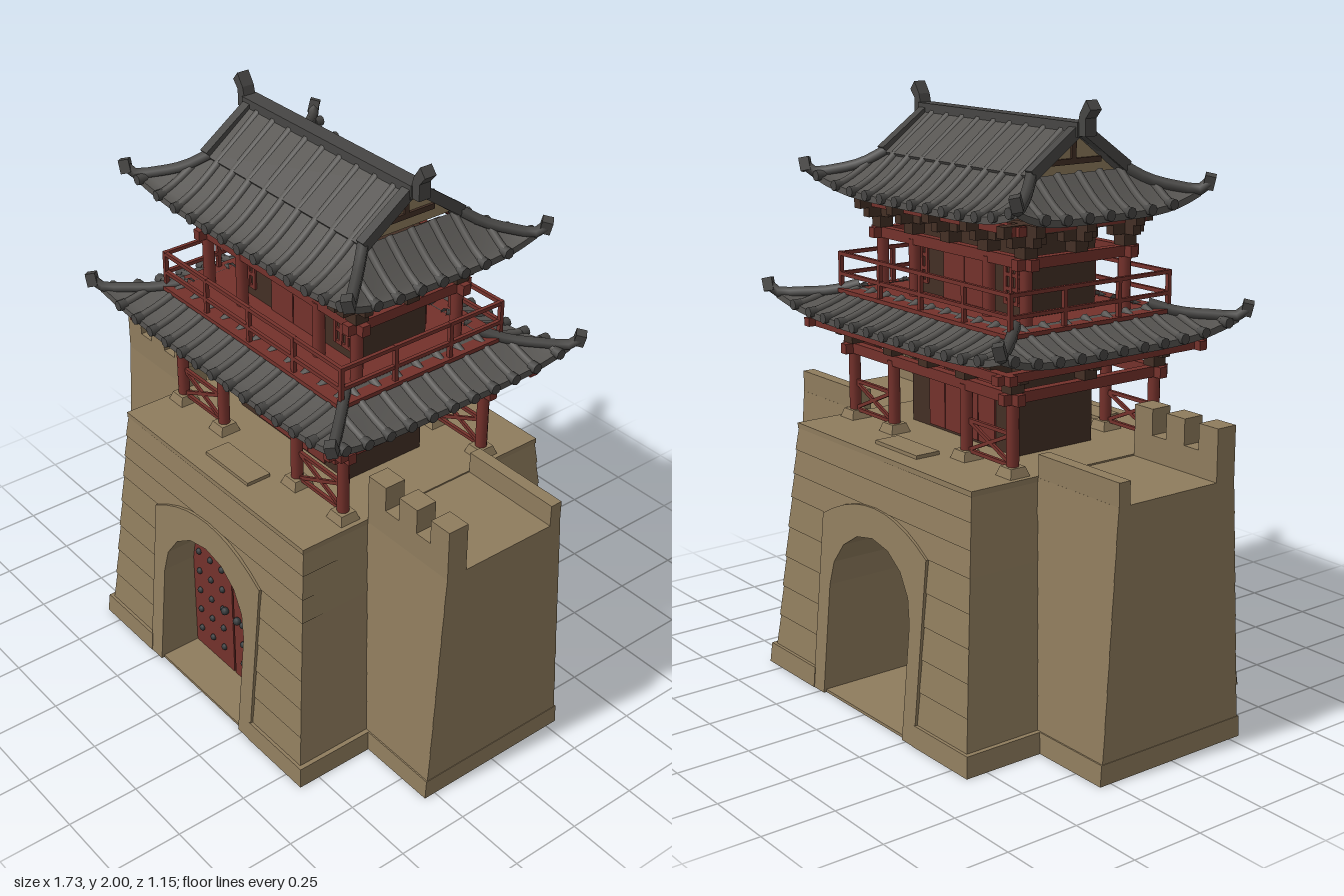
import * as THREE from 'three';
import { ParametricGeometry } from 'three/addons/geometries/ParametricGeometry.js';

const paint = (name, color, side = THREE.FrontSide) => {
  const m = new THREE.MeshStandardMaterial({ color, side });
  m.name = name;
  return m;
};
const lerp = THREE.MathUtils.lerp;
const V = (x, y, z) => new THREE.Vector3(x, y, z);

export function createModel() {
  const stone = paint('sandstone', 0x8f7c5d);
  const red = paint('red timber', 0x74312b, THREE.DoubleSide);
  const brown = paint('dark brown timber', 0x432f25);
  const tile = paint('grey roof tile', 0x565451, THREE.DoubleSide);
  const ridgeMat = paint('dark ridge tile', 0x474644);
  const iron = paint('iron', 0x34383a);
  const root = new THREE.Group();
  root.name = 'gateTower';

  const add = (name, geo, mat, parent = root) => {
    const m = new THREE.Mesh(geo, mat);
    m.name = name;
    parent.add(m);
    return m;
  };
  const box = (name, mat, w, h, d, x, y, z, parent) => {
    const m = add(name, new THREE.BoxGeometry(w, h, d), mat, parent);
    m.position.set(x, y, z);
    return m;
  };
  // bar between two points
  const bar = (name, mat, a, b, w, h) => {
    const m = box(name, mat, w, h, a.distanceTo(b), 0, 0, 0);
    m.position.copy(a).lerp(b, 0.5);
    m.lookAt(b);
    return m;
  };
  // block whose x range and half depth change from bottom to top
  const taper = (name, mat, y0, y1, bottom, top) => {
    const g = new THREE.BoxGeometry(1, 1, 1), p = g.attributes.position;
    for (let i = 0; i < p.count; i++) {
      const up = p.getY(i) > 0, [a, b, hz] = up ? top : bottom;
      p.setXYZ(i, p.getX(i) < 0 ? a : b, up ? y1 : y0, Math.sign(p.getZ(i)) * hz);
    }
    g.computeVertexNormals();
    return add(name, g, mat);
  };
  // four beams around a rectangle, with crossing ends
  const ring = (name, mat, hx, hz, y, h, w, over) => {
    for (const s of [-1, 1]) {
      box(name, mat, 2 * (hx + over), h, w, 0, y, s * hz);
      box(name, mat, w, h * 0.96, 2 * (hz + over), s * hx, y, 0);
    }
  };

  // --- Stone base: battered courses, arch surround, tunnel ---
  const wx = y => 0.555 - 0.082 * (y - 0.07), wz = y => 0.56 - 0.0886 * (y - 0.07);
  const joints = [0.07, 0.178, 0.286, 0.394, 0.502, 0.61, 0.695, 0.78, 0.86];
  for (let i = 0; i < 8; i++) {
    const a = joints[i], b = joints[i + 1], e = 0.003;
    if (a < 0.6) for (const s of [-1, 1]) {
      const span = (y, d) => s > 0 ? [0.25, wx(y) - d, wz(y) - d] : [d - wx(y), -0.25, wz(y) - d];
      taper('baseCourse', stone, a, b, span(a, 0), span(b, e));
    } else taper('baseCourse', stone, a, b, [-wx(a), wx(a), wz(a)], [e - wx(b), wx(b) - e, wz(b) - e]);
  }
  box('baseCoping', stone, 0.98, 0.018, 0.98, 0, 0.866, 0);
  box('tunnelFloor', stone, 0.48, 0.01, 1.13, 0, 0.005, 0);
  const arch = [];
  for (let i = 0; i <= 8; i++) {
    const t = Math.PI * i / 8;
    arch.push([0.23 * Math.cos(t), 0.38 + 0.22 * Math.sin(t)]);
  }
  const surround = new THREE.Shape();
  surround.moveTo(-0.295, 0).lineTo(-0.295, 0.61);
  surround.quadraticCurveTo(0, 0.79, 0.295, 0.61);
  surround.lineTo(0.295, 0).lineTo(0.23, 0);
  arch.forEach(p => surround.lineTo(...p));
  surround.lineTo(-0.23, 0);
  const sg = new THREE.ExtrudeGeometry(surround, { depth: 1, bevelEnabled: false, curveSegments: 10 });
  const sp = sg.attributes.position;
  for (let i = 0; i < sp.count; i++) sp.setZ(i, (sp.getZ(i) > 0.5 ? 1 : -1) * (0.575 - 0.09 * sp.getY(i)));
  sg.computeVertexNormals();
  add('archSurround', sg, stone);

  // --- Door leaves with studs and knobs ---
  for (const s of [-1, 1]) {
    const leaf = new THREE.Shape();
    leaf.moveTo(s * 0.004, 0.01).lineTo(s * 0.23, 0.01);
    arch.slice(0, 4).forEach(p => leaf.lineTo(s * p[0], p[1]));
    leaf.lineTo(s * 0.004, 0.598);
    const g = new THREE.ExtrudeGeometry(leaf, { depth: 0.03, bevelEnabled: false });
    add('doorLeaf', g, red).position.z = 0.39;
    for (let r = 0; r < 6; r++) for (let c = 0; c < (r === 5 ? 2 : 3); c++)
      add('doorStud', new THREE.SphereGeometry(0.012, 8, 6), iron)
        .position.set(s * (0.057 + c * 0.067), 0.088 + r * 0.085, 0.422);
    add('doorKnob', new THREE.SphereGeometry(0.015, 8, 6), iron).position.set(s * 0.035, 0.267, 0.43);
    box('doorBarHolder', brown, 0.03, 0.06, 0.05, s * 0.1, 0.3, 0.37);

    // --- Wing walls with parapets and merlons ---
    const X = (a, b) => s > 0 ? [a, b] : [-b, -a];
    taper('basePlinth', stone, 0, 0.07, [...X(0.29, 0.577), 0.577], [...X(0.29, 0.571), 0.571]);
    taper('wingPlinth', stone, 0, 0.07, [...X(0.4, 0.865), 0.292], [...X(0.4, 0.865), 0.288]);
    const hw = y => 0.283 - 0.059 * (y - 0.07);
    for (let i = 0; i < 7; i++) {
      const a = 0.07 + i * 0.8 / 7, b = a + 0.8 / 7;
      taper('wingCourse', stone, a, b, [...X(0.4, 0.863), hw(a)], [...X(0.4, 0.863), hw(b) - 0.002]);
    }
    box('frontParapet', stone, 0.373, 0.09, 0.075, s * 0.6765, 0.91, 0.197);
    box('backParapet', stone, 0.373, 0.08, 0.043, s * 0.6765, 0.905, -0.212);
    for (const x of [0.532, 0.677, 0.822])
      box('merlon', stone, 0.082, 0.09, 0.075, s * x, 0.995, 0.197);
    box('doorStep', stone, 0.23, 0.012, 0.09, 0, 0.881, s * 0.38);
  }

  // --- Storeys: hall, columns, tie beams, brackets ---
  const bracket = (x, y, z, k) => {
    const g = new THREE.Group();
    g.name = 'bracketSet';
    g.position.set(x, y, z);
    root.add(g);
    box('bracketBlock', brown, 0.05, 0.03 * k, 0.05, 0, 0.015 * k, 0, g);
    box('bracketArm', brown, 0.11, 0.026 * k, 0.032, 0, 0.043 * k, 0, g);
    box('bracketArm', brown, 0.032, 0.026 * k, 0.13, 0, 0.043 * k, 0, g);
    box('bracketArm', brown, 0.14, 0.03 * k, 0.036, 0, 0.071 * k, 0, g);
    box('bracketArm', brown, 0.036, 0.03 * k, 0.2, 0, 0.071 * k, 0, g);
  };
  const storey = (hx, hz, y0, yBeam, yTop) => {
    for (const s of [-1, 1]) for (const x of [-hx, -0.2, 0, 0.2, hx]) {
      bracket(x, yBeam + 0.018, s * hz, (yTop - yBeam - 0.02) / 0.086);
      if (!x) continue;
      const h = yBeam - y0;
      add('column', new THREE.CylinderGeometry(0.02, 0.02, h, 10), red).position.set(x, y0 + h / 2, s * hz);
    }
    for (const s of [-1, 1]) bracket(s * hx, yBeam + 0.018, 0, (yTop - yBeam - 0.02) / 0.086);
    ring('tieBeam', red, hx, hz, yBeam, 0.036, 0.03, 0.045);
  };
  storey(0.435, 0.29, 0.875, 1.12, 1.24);
  storey(0.385, 0.2, 1.315, 1.515, 1.64);
  ring('eaveBeam', red, 0.52, 0.385, 1.21, 0.03, 0.03, 0.04);
  ring('eaveBeam', red, 0.39, 0.24, 1.62, 0.03, 0.03, 0.03);
  box('lowerHall', brown, 0.57, 0.4, 0.31, 0, 1.075, 0);
  box('upperHall', brown, 0.62, 0.38, 0.28, 0, 1.49, 0);
  box('balconyFloor', red, 0.95, 0.014, 0.67, 0, 1.318, 0);
  for (const s of [-1, 1]) {
    for (const x of [-0.135, -0.045, 0.045, 0.135])
      box('hallDoor', red, 0.086, 0.23, 0.008, x, 1.0, s * 0.158);
    for (const x of [-0.058, 0.058]) box('upperDoor', red, 0.112, 0.19, 0.008, x, 1.42, s * 0.143);
    for (const e of [-1, 1]) {
      // lattice window
      for (const d of [-0.045, -0.015, 0.015, 0.045]) {
        box('windowBar', red, 0.014, 0.14, 0.008, e * 0.255 + d, 1.43, s * 0.143);
        box('windowBar', red, 0.1, 0.012, 0.007, e * 0.255, 1.43 + d * 1.5, s * 0.143);
      }
      // crossed railing and column bases
      const a = e * 0.22, b = e * 0.425, z = s * 0.29;
      bar('crossRail', red, V(a, 0.91, z), V(b, 1.0, z), 0.01, 0.012);
      bar('crossRail', red, V(a, 1.0, z), V(b, 0.91, z), 0.01, 0.012);
      for (const y of [0.905, 1.005]) bar('lowerRail', red, V(a, y, z), V(b, y, z), 0.012, 0.012);
      for (const x of [0.2, 0.435]) taper('columnBase', stone, 0.875, 0.905,
        [e * x - 0.038, e * x + 0.038, 0.038], [e * x - 0.028, e * x + 0.028, 0.028]).position.z = z;
    }
    // balcony railing posts
    for (const x of [-0.46, -0.23, 0, 0.23, 0.46]) box('railPost', red, 0.014, 0.13, 0.014, x, 1.385, s * 0.32);
    for (const z of [-0.11, 0.11]) box('railPost', red, 0.014, 0.13, 0.014, s * 0.46, 1.385, z);
  }
  for (const y of [1.375, 1.443]) ring('balconyRail', red, 0.46, 0.32, y, 0.013, 0.013, 0.006);

  // --- Curved hipped roof skirts ---
  const tube = (name, mat, pts, r, parent) =>
    add(name, new THREE.TubeGeometry(new THREE.CatmullRomCurve3(pts), 8, r, 6), mat, parent);
  const skirt = (inner, outer, yTop, yEave, ribs) => {
    for (let k = 0; k < 4; k++) {
      const side = new THREE.Group();
      side.name = 'roofSide';
      side.rotation.y = k * Math.PI / 2;
      root.add(side);
      const o = k % 2, n = ribs[o];
      const width = t => lerp(inner[o], outer[o], t);
      const P = (u, t, drop = 0) => {
        const f = Math.pow(Math.abs(u), 5) * t * t;
        return V(u * (width(t) + 0.02 * f),
          lerp(yTop, yEave, 1 - Math.pow(1 - t, 1.3)) + 0.05 * f - drop,
          lerp(inner[1 - o], outer[1 - o], t) + 0.02 * f);
      };
      const sheet = (name, mat, fn) =>
        add(name, new ParametricGeometry((u, v, p) => p.copy(fn(u * 2 - 1, v)), 20, 6), mat, side);
      sheet('roofTiles', tile, (u, v) => P(u, v));
      sheet('soffit', red, (u, v) => P(u, v, 0.022));
      sheet('eaveEdge', tile, (u, v) => P(u, 1, v * 0.022));
      // rounded tile rows with end caps
      for (let i = -n; i <= n; i++) {
        const x = i * 0.084;
        const t0 = Math.max(0, (Math.abs(x) - inner[o]) / (outer[o] - inner[o]));
        const pts = [0, 0.33, 0.67, 1].map(q => lerp(t0, 1, q)).map(t => P(x / width(t), t));
        tube('tileRow', tile, pts, 0.014, side);
        const cap = add('eaveTile', new THREE.CylinderGeometry(0.018, 0.018, 0.03, 8), ridgeMat, side);
        cap.rotation.x = Math.PI / 2;
        cap.position.copy(pts[3]);
      }
      // hip ridge with a raised tip
      const end = P(1, 1), tip = end.clone().add(V(0.018, 0.022, 0.018));
      tube('hipRidge', ridgeMat, [P(1, 0, -0.01), P(1, 0.35, -0.01), P(1, 0.7, -0.01), end, tip], 0.019, side);
      const b = box('hipTip', ridgeMat, 0.034, 0.045, 0.034, tip.x, tip.y + 0.002, tip.z, side);
      b.rotation.set(0.3, Math.PI / 4, 0);
    }
  };
  skirt([0.42, 0.27], [0.6, 0.46], 1.33, 1.257, [6, 5]);
  skirt([0.385, 0.18], [0.53, 0.345], 1.775, 1.662, [6, 3]);

  // --- Gabled top ---
  const gable = new THREE.Shape();
  gable.moveTo(-0.18, 1.765).lineTo(0.18, 1.765).lineTo(0, 1.905);
  const gg = new THREE.ExtrudeGeometry(gable, { depth: 0.72, bevelEnabled: false });
  gg.translate(0, 0, -0.36).rotateY(Math.PI / 2);
  add('gableWall', gg, stone);
  for (const s of [-1, 1]) {
    bar('gableRoof', tile, V(0, 1.91, 0), V(0, 1.772, s * 0.185), 0.81, 0.02);
    for (let i = -4; i <= 4; i++)
      tube('upperTileRow', tile, [V(i * 0.084, 1.917, 0), V(i * 0.084, 1.846, s * 0.09), V(i * 0.084, 1.776, s * 0.18)], 0.014);
    for (const e of [-1, 1])
      bar('gableRidge', ridgeMat, V(e * 0.392, 1.915, 0), V(e * 0.392, 1.782, s * 0.19), 0.034, 0.035);
    box('gableBeam', brown, 0.012, 0.018, 0.22, s * 0.363, 1.808, 0);
    box('gablePost', brown, 0.012, 0.08, 0.018, s * 0.363, 1.85, 0);
    // ridge end ornament
    const horn = new THREE.Shape();
    [[0.4, 1.89], [0.445, 1.89], [0.445, 1.945], [0.468, 1.972], [0.445, 2.0], [0.418, 1.96]]
      .forEach((p, i) => horn[i ? 'lineTo' : 'moveTo'](s * p[0], p[1]));
    add('ridgeOrnament', new THREE.ExtrudeGeometry(horn, { depth: 0.044, bevelEnabled: false }), ridgeMat)
      .position.z = -0.022;
  }
  box('mainRidge', ridgeMat, 0.83, 0.045, 0.056, 0, 1.909, 0);
  return root;
}
